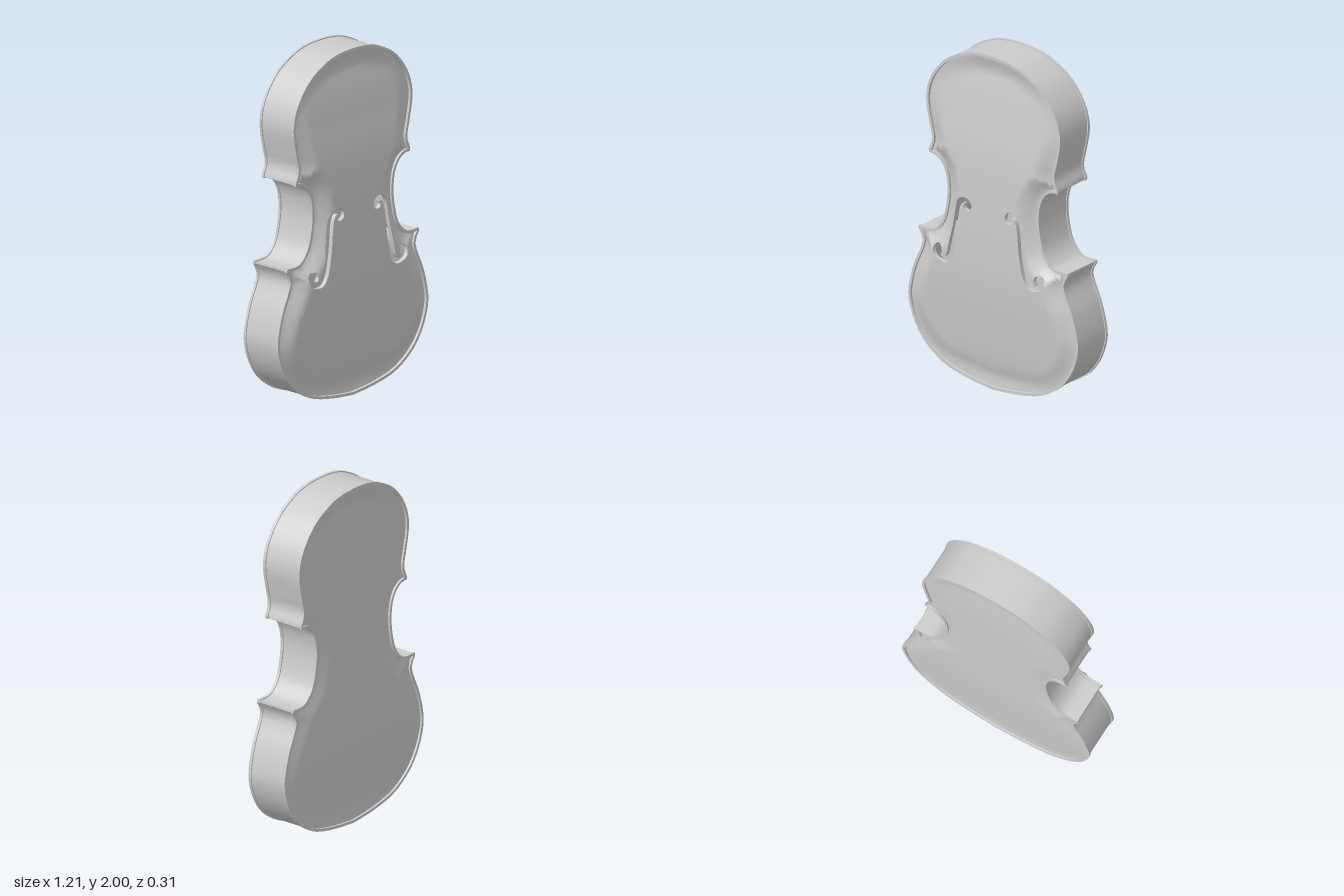
import * as THREE from 'three';
import { toCreasedNormals } from 'three/addons/utils/BufferGeometryUtils.js';

const material = new THREE.MeshStandardMaterial({ color: 0xcccccc, side: THREE.DoubleSide });
const V = (x, y) => new THREE.Vector2(x, y);

// Half outline: lower bout, waist and upper bout, meeting in sharp corners
const bouts = [
  [[0, 0], [0.15, 0.015], [0.3, 0.045], [0.4, 0.09], [0.5, 0.17], [0.57, 0.28], [0.603, 0.4],
    [0.592, 0.5], [0.56, 0.61], [0.515, 0.71], [0.5, 0.77], [0.53, 0.825]],
  [[0.527, 0.843], [0.44, 0.845], [0.39, 0.88], [0.35, 0.95], [0.325, 1.08], [0.33, 1.18],
    [0.355, 1.25], [0.4, 1.293], [0.456, 1.303]],
  [[0.458, 1.32], [0.434, 1.39], [0.45, 1.47], [0.475, 1.6], [0.466, 1.7], [0.42, 1.8],
    [0.33, 1.9], [0.2, 1.97], [0.1, 1.994], [0, 2]],
];
const half = bouts.flatMap((b) => new THREE.SplineCurve(b.map((p) => V(...p))).getSpacedPoints(34));
const outline = [...half, ...half.slice(1, -1).reverse().map((p) => V(-p.x, p.y))];

// Outline moved inwards by a distance
function inset(dist) {
  const n = outline.length;
  return outline.map((p, i) => {
    const a = outline[(i + n - 1) % n], b = outline[(i + 1) % n];
    const t = b.clone().sub(a).normalize();
    return V(p.x - t.y * dist, p.y + t.x * dist);
  });
}

function edgeDistance(x, y) {
  let best = 1e9;
  for (let i = 0; i < outline.length; i++) {
    const a = outline[i], b = outline[(i + 1) % outline.length];
    const dx = b.x - a.x, dy = b.y - a.y;
    const t = THREE.MathUtils.clamp(((x - a.x) * dx + (y - a.y) * dy) / (dx * dx + dy * dy), 0, 1);
    best = Math.min(best, Math.hypot(x - a.x - t * dx, y - a.y - t * dy));
  }
  return best;
}

// Arching: a lengthwise profile that fades to the edge channel
function arching(profile, edge) {
  const curve = new THREE.SplineCurve(profile.map((p) => V(...p)));
  const table = curve.getPoints(120);
  const along = (y) => {
    const i = Math.max(1, table.findIndex((p) => p.x >= y));
    const a = table[i - 1], b = table[i];
    return a.y + (b.y - a.y) * (y - a.x) / (b.x - a.x);
  };
  return (x, y) => edge + (along(y) - edge) * THREE.MathUtils.smoothstep(edgeDistance(x, y), 0, 0.13);
}
const frontHeight = arching([[-0.1, 0.05], [0.06, 0.08], [0.2, 0.112], [0.5, 0.142], [0.75, 0.156],
  [1.1, 0.152], [1.4, 0.139], [1.6, 0.115], [1.75, 0.095], [1.9, 0.068], [2.1, 0.04]], 0.092);
const backHeight = arching([[-0.1, 0.125], [0.3, 0.146], [0.65, 0.157], [1.2, 0.147], [1.6, 0.138],
  [1.9, 0.12], [2.1, 0.11]], 0.138);

// Split triangles at their longest edge until they are small
function subdivide(a, b, c, max, out) {
  const l = [a.distanceTo(b), b.distanceTo(c), c.distanceTo(a)];
  const m = Math.max(...l);
  if (m <= max) { out.push(a, b, c); return; }
  if (l[1] === m) [a, b, c] = [b, c, a];
  else if (l[2] === m) [a, b, c] = [c, a, b];
  const mid = a.clone().add(b).multiplyScalar(0.5);
  subdivide(a, mid, c, max, out);
  subdivide(mid, b, c, max, out);
}

// Arched plate facing +z (side 1) or -z (side -1)
function plate(name, height, side, holes) {
  const shape = new THREE.Shape(inset(0.01));
  shape.holes = holes.map((h) => new THREE.Path(h));
  const flat = new THREE.ShapeGeometry(shape);
  const pos = flat.attributes.position, idx = flat.index.array, points = [];
  for (let i = 0; i < idx.length; i += 3) {
    const [a, b, c] = [0, 1, 2].map((k) => V(pos.getX(idx[i + k]), pos.getY(idx[i + k])));
    if (side > 0) subdivide(a, b, c, 0.05, points);
    else subdivide(a, c, b, 0.05, points);
  }
  const positions = [], normals = [], e = 0.004;
  for (const { x, y } of points) {
    const z = height(x, y);
    const n = new THREE.Vector3((z - height(x + e, y)) / e, (z - height(x, y + e)) / e, 1).normalize();
    positions.push(x, y, side * z);
    normals.push(n.x, n.y, side * n.z);
  }
  const geometry = new THREE.BufferGeometry();
  geometry.setAttribute('position', new THREE.Float32BufferAttribute(positions, 3));
  geometry.setAttribute('normal', new THREE.Float32BufferAttribute(normals, 3));
  return named(name, geometry);
}

function named(name, geometry) {
  const mesh = new THREE.Mesh(geometry, material);
  mesh.name = name;
  return mesh;
}

// Band that follows the outline between two insets and two depths
function band(name, outer, inner, z0, z1) {
  const shape = new THREE.Shape(inset(outer));
  shape.holes.push(new THREE.Path(inset(inner)));
  const geometry = new THREE.ExtrudeGeometry(shape, { depth: z1 - z0, bevelEnabled: false });
  geometry.translate(0, 0, z0);
  return named(name, toCreasedNormals(geometry, 0.6));
}

// Scrolled sound hole, on the +x or -x side
const holeProfile = [[0.118, 1.085], [0.145, 1.12], [0.19, 1.12], [0.23, 1.08], [0.247, 1], [0.262, 0.9],
  [0.28, 0.8], [0.295, 0.745], [0.315, 0.728], [0.335, 0.735], [0.325, 0.76], [0.34, 0.79],
  [0.375, 0.79], [0.395, 0.76], [0.38, 0.72], [0.34, 0.7], [0.29, 0.7], [0.255, 0.74],
  [0.235, 0.81], [0.22, 0.9], [0.21, 1], [0.198, 1.06], [0.185, 1.085], [0.165, 1.09],
  [0.175, 1.07], [0.16, 1.05], [0.13, 1.055]];
function soundHole(side) {
  const curve = new THREE.CatmullRomCurve3(holeProfile.map(([x, y]) => new THREE.Vector3(side * x, y, 0)), true);
  return curve.getPoints(80).slice(0, -1).map((p) => V(p.x, p.y));
}

// Thickness of the front plate seen inside a sound hole
function holeWall(name, points) {
  const positions = [], index = [], n = points.length;
  points.forEach(({ x, y }, i) => {
    const z = frontHeight(x, y), j = (i + 1) % n;
    positions.push(x, y, z, x, y, z - 0.025);
    index.push(2 * i, 2 * i + 1, 2 * j, 2 * j, 2 * i + 1, 2 * j + 1);
  });
  const geometry = new THREE.BufferGeometry();
  geometry.setAttribute('position', new THREE.Float32BufferAttribute(positions, 3));
  geometry.setIndex(index);
  geometry.computeVertexNormals();
  return named(name, geometry);
}

export function createModel() {
  const model = new THREE.Group();
  model.name = 'stringInstrumentBody';
  const holes = [soundHole(1), soundHole(-1)];
  model.add(
    plate('frontPlate', frontHeight, 1, holes),
    plate('backPlate', backHeight, -1, []),
    holeWall('leftSoundHoleWall', holes[0]),
    holeWall('rightSoundHoleWall', holes[1]),
    band('ribs', 0.006, 0.014, -0.14, 0.1),
    band('frontRim', 0, 0.016, 0.09, 0.108),
    band('backRim', 0, 0.016, -0.15, -0.134),
  );
  return model;
}
